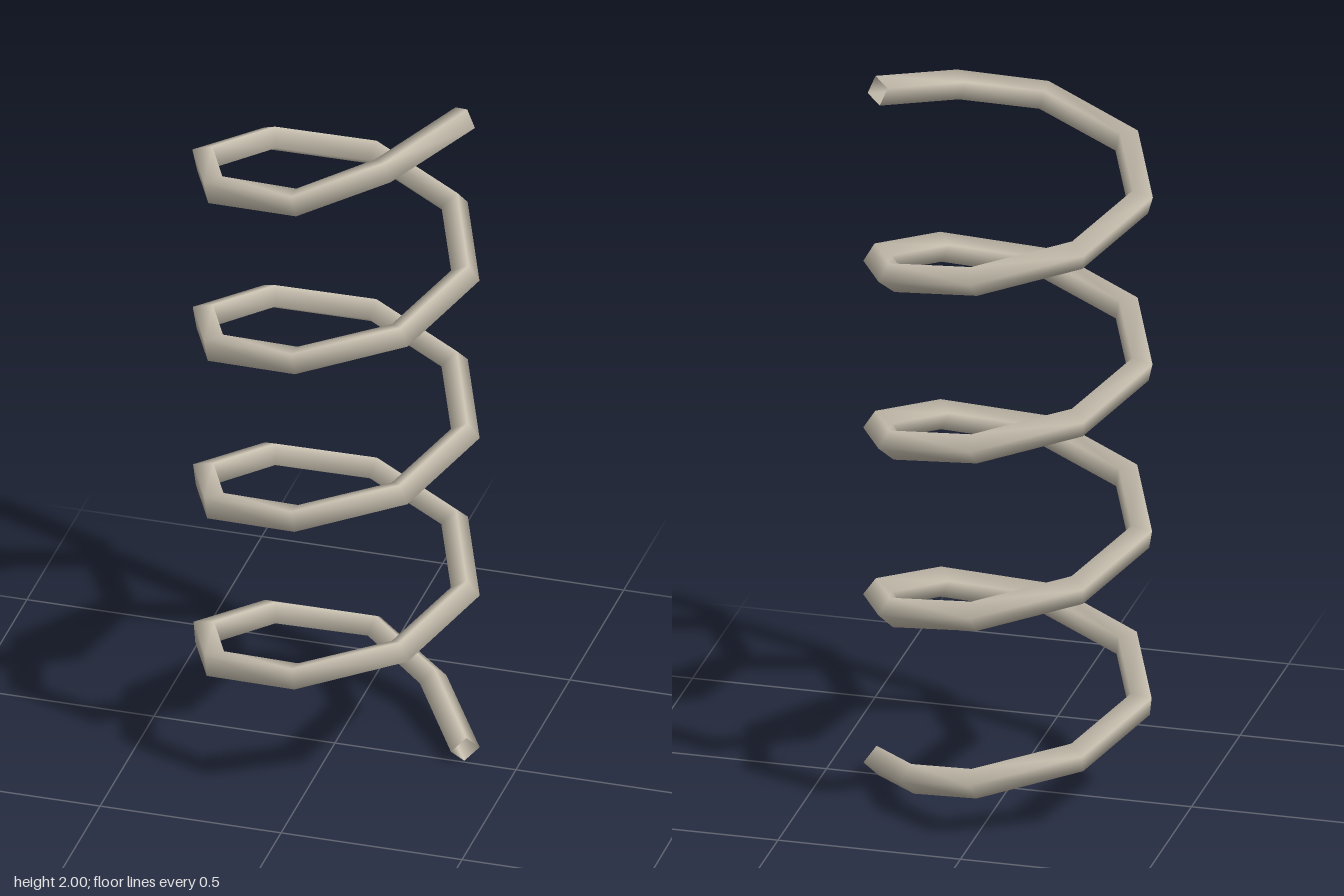
import * as THREE from 'three';

const TURNS = 4, STEPS = 8, SIDES = 4;
const COIL_RADIUS = 0.36, WIRE_RADIUS = 0.04;
const BOTTOM = 0.039, RISE = 1.927;

// Centre line of the wire: eight points per turn, pulled in next to the two free ends
function coilPoints() {
  const count = TURNS * STEPS;
  const points = [];
  for (let i = 0; i <= count; i++) {
    const a = (i / STEPS) * Math.PI * 2;
    const p = new THREE.Vector3(
      COIL_RADIUS * Math.cos(a), BOTTOM + (RISE * i) / count, -COIL_RADIUS * Math.sin(a));
    if (i === 1 || i === count - 1) {
      p.x = 0.202;
      p.z = Math.sign(p.z) * 0.233;
    }
    points.push(p);
  }
  return points;
}

// Sweep a four-sided section along the points, carrying its frame with least twist
function sweep(points) {
  const last = points.length - 1;
  const chord = (i) => points[i + 1].clone().sub(points[i]).normalize();
  const tangents = points.map((_, i) => {
    if (i === 0) return chord(0);
    if (i === last) return chord(last - 1);
    return chord(i - 1).add(chord(i)).normalize();
  });

  const up = new THREE.Vector3(0, 1, 0);
  up.addScaledVector(tangents[0], -up.dot(tangents[0])).normalize();
  const turn = new THREE.Quaternion();
  const positions = [], indices = [];

  points.forEach((p, i) => {
    if (i > 0) up.applyQuaternion(turn.setFromUnitVectors(tangents[i - 1], tangents[i]));
    const side = tangents[i].clone().cross(up);
    for (let j = 0; j < SIDES; j++) {
      const a = (j / SIDES) * Math.PI * 2;
      const v = p.clone()
        .addScaledVector(up, WIRE_RADIUS * Math.cos(a))
        .addScaledVector(side, WIRE_RADIUS * Math.sin(a));
      positions.push(v.x, v.y, v.z);
      if (i < last) {
        const k = (j + 1) % SIDES;
        const a0 = i * SIDES + j, b0 = i * SIDES + k;
        indices.push(a0, b0, b0 + SIDES, a0, b0 + SIDES, a0 + SIDES);
      }
    }
  });

  const geometry = new THREE.BufferGeometry();
  geometry.setAttribute('position', new THREE.Float32BufferAttribute(positions, 3));
  geometry.setIndex(indices);
  geometry.computeVertexNormals();
  return geometry;
}

export function createModel() {
  const group = new THREE.Group();
  group.name = 'coilSpring';

  // The wire is a hollow tube with open ends
  const metal = new THREE.MeshStandardMaterial({ color: 0xc8c0b0, side: THREE.DoubleSide });
  metal.name = 'warmGrey';

  const wire = new THREE.Mesh(sweep(coilPoints()), metal);
  wire.name = 'springWire';
  group.add(wire);
  return group;
}
